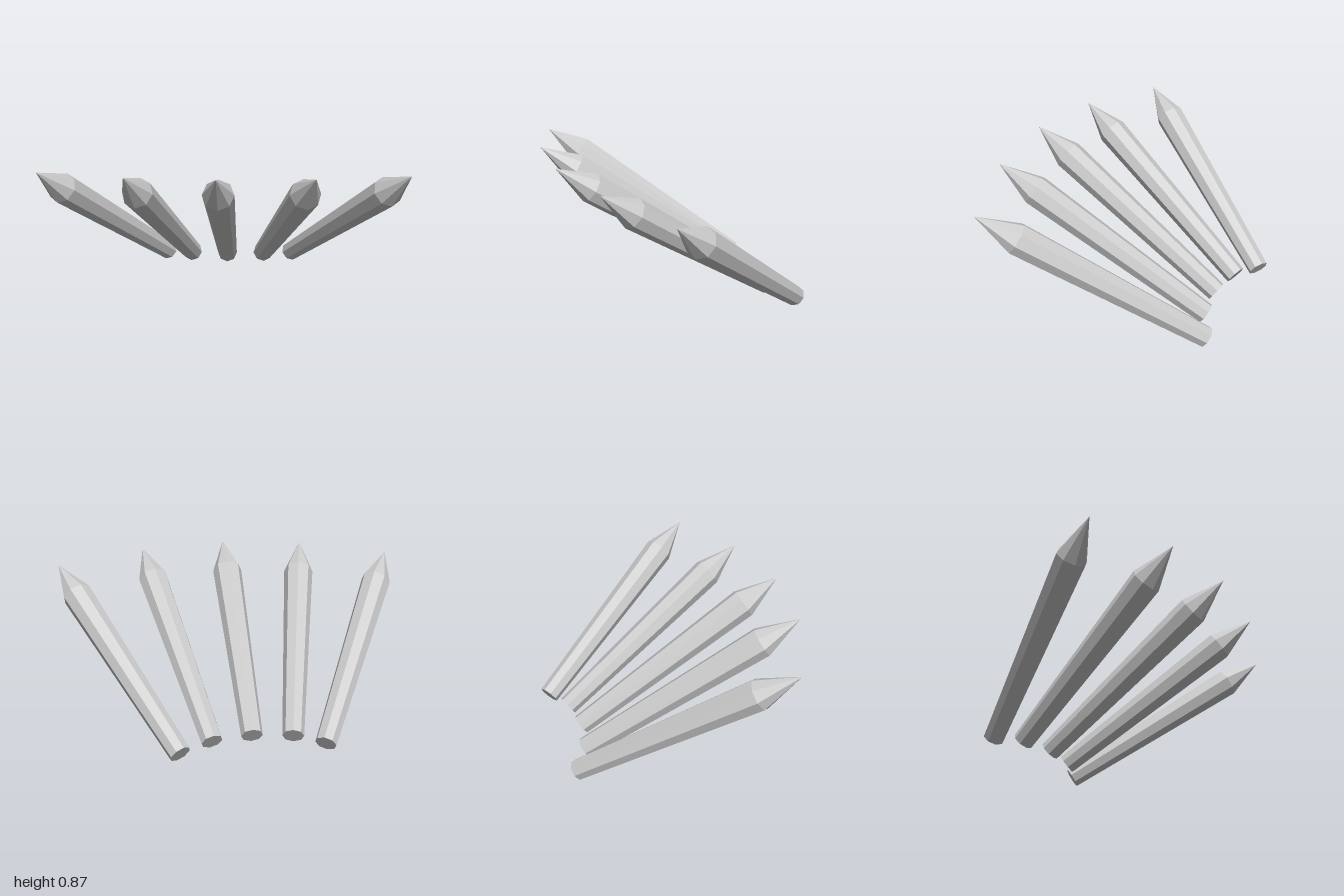
import * as THREE from 'three';

const material = new THREE.MeshStandardMaterial({ color: 0xcccccc, flatShading: true });
const SIDES = 8, BASE_R = 0.06, SHOULDER_R = 0.087, SHOULDER = 0.83;

// One sharpened stake standing on its base, pointing up +y
function makeStake(length) {
  const stake = new THREE.Group();
  const shaftLength = length * SHOULDER, tipLength = length - shaftLength;

  const shaft = new THREE.Mesh(
    new THREE.CylinderGeometry(SHOULDER_R, BASE_R, shaftLength, SIDES), material);
  shaft.name = 'shaft';
  shaft.position.y = shaftLength / 2;

  const tip = new THREE.Mesh(
    new THREE.ConeGeometry(SHOULDER_R, tipLength, SIDES, 1, true), material);
  tip.name = 'tip';
  tip.position.y = shaftLength + tipLength / 2;

  stake.add(shaft, tip);
  return stake;
}

export function createModel() {
  const model = new THREE.Group();
  model.name = 'stakeFan';

  // Base centre and point of each stake, from the model's right to its left
  const stakes = [
    ['outerRightStake', [-0.41, 0.05, -0.62], [-1, 0.83, 0.41]],
    ['innerRightStake', [-0.245, 0.07, -0.54], [-0.5, 0.86, 0.61]],
    ['middleStake', [-0.02, 0.075, -0.515], [-0.02, 0.87, 0.665]],
    ['innerLeftStake', [0.205, 0.07, -0.55], [0.49, 0.86, 0.59]],
    ['outerLeftStake', [0.385, 0.05, -0.635], [1, 0.83, 0.39]],
  ];

  for (const [name, from, to] of stakes) {
    const base = new THREE.Vector3(...from);
    const axis = new THREE.Vector3(...to).sub(base);
    const stake = makeStake(axis.length());
    stake.name = name;
    stake.position.copy(base);
    // Lean forward, then fan out sideways
    stake.rotation.order = 'YXZ';
    stake.rotation.y = Math.atan2(axis.x, axis.z);
    stake.rotation.x = Math.atan2(Math.hypot(axis.x, axis.z), axis.y);
    model.add(stake);
  }
  return model;
}
